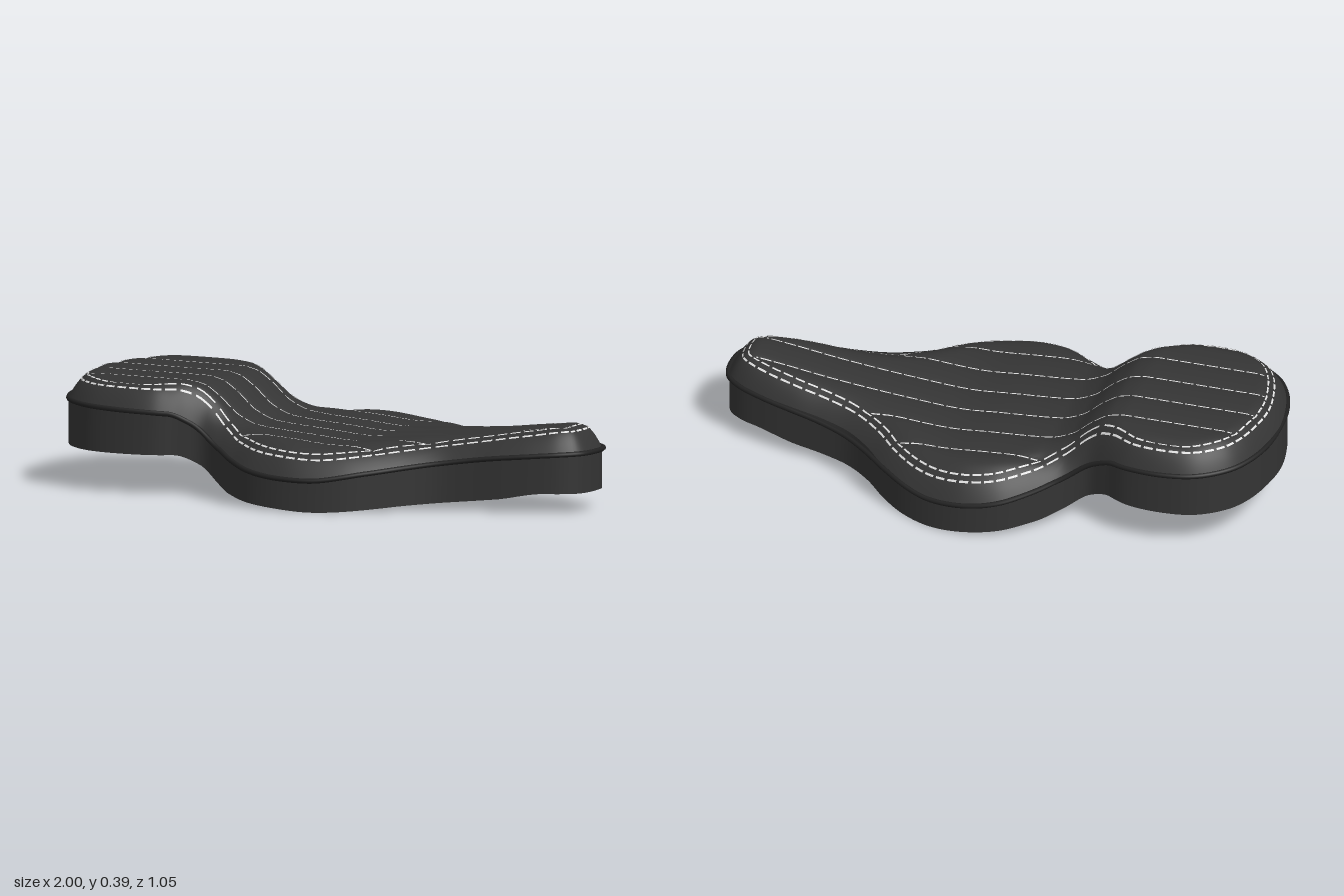
import * as THREE from 'three';

// Smooth interpolation through [x, value] pairs
function curve(pts) {
  const n = pts.length;
  const slope = (i) => {
    if (i === 0 || i === n - 1) return 0;
    const l = (pts[i][1] - pts[i - 1][1]) / (pts[i][0] - pts[i - 1][0]);
    const r = (pts[i + 1][1] - pts[i][1]) / (pts[i + 1][0] - pts[i][0]);
    return l * r <= 0 ? 0 : (2 * l * r) / (l + r);
  };
  return (x) => {
    if (x <= pts[0][0]) return pts[0][1];
    if (x >= pts[n - 1][0]) return pts[n - 1][1];
    let i = 0;
    while (x > pts[i + 1][0]) i++;
    const h = pts[i + 1][0] - pts[i][0], t = (x - pts[i][0]) / h, u = 1 - t;
    return pts[i][1] * (1 + 2 * t) * u * u + slope(i) * h * t * u * u
      + pts[i + 1][1] * t * t * (3 - 2 * t) - slope(i + 1) * h * t * t * u;
  };
}

// Side profiles: base edge, piping seam, crown, and width of the rounded shoulder
const baseY = curve([[-1, .14], [-.48, .14], [-.4, .11], [-.3, .05], [-.23, .03], [0, .008], [.14, 0],
  [.4, .017], [.7, .045], [.87, .07], [1, .07]]);
const seamY = curve([[-1, .3], [-.5, .285], [-.42, .255], [-.3, .18], [-.2, .145], [0, .115], [.12, .11],
  [.3, .135], [.5, .165], [.75, .195], [1, .21]]);
const crownY = curve([[-1, .39], [-.5, .39], [-.44, .38], [-.38, .345], [-.3, .28], [-.22, .25], [0, .232],
  [.14, .222], [.35, .235], [.6, .26], [.8, .288], [.92, .302], [1, .302]]);
const shoulder = curve([[-1, .11], [-.5, .11], [-.2, .15], [.3, .15], [.8, .11], [1, .1]]);

// Closed plan outline mirrored from the half with positive z
function outline(half, count) {
  const mirrored = half.slice(1, -1).reverse().map(([x, z]) => [x, -z]);
  const pts = [...half, ...mirrored].map(([x, z]) => new THREE.Vector3(x, 0, z));
  return new THREE.CatmullRomCurve3(pts, true, 'centripetal').getSpacedPoints(count).slice(0, count);
}
const rearHalf = [[-.997, 0], [-.982, .12], [-.95, .225], [-.9, .305], [-.8, .375], [-.68, .395]];
const wideHalf = [[-.23, .41], [-.12, .487], [0, .515], [.12, .502], [.23, .457]];
const edge = outline([...rearHalf, [-.55, .38], [-.46, .335], [-.39, .31], [-.32, .335], ...wideHalf,
  [.32, .39], [.41, .3], [.5, .24], [.6, .21], [.72, .19], [.83, .165], [.92, .13], [.97, .085], [.985, 0]], 400);
const pipeEdge = outline([[-.991, 0], ...rearHalf.slice(1), [-.55, .378], [-.47, .35], [-.39, .335], [-.3, .362],
  ...wideHalf, [.32, .397], [.41, .327], [.5, .272], [.6, .236], [.72, .208], [.83, .177], [.92, .138],
  [.975, .085], [.991, 0]], 300);

function edgeDistance(x, z) {
  let best = Infinity;
  for (let i = 0; i < edge.length; i++) {
    const a = edge[i], b = edge[(i + 1) % edge.length];
    const dx = b.x - a.x, dz = b.z - a.z;
    const t = THREE.MathUtils.clamp(((x - a.x) * dx + (z - a.z) * dz) / (dx * dx + dz * dz), 0, 1);
    best = Math.min(best, (x - a.x - t * dx) ** 2 + (z - a.z - t * dz) ** 2);
  }
  return Math.sqrt(best);
}

// Padded top: rounded shoulder, then lengthwise puffed channels
const CHANNEL = .13;
function topY(x, z) {
  const d = edgeDistance(x, z);
  const t = Math.min(1, d / shoulder(x));
  const dome = seamY(x) + (crownY(x) - seamY(x)) * (1 - (1 - t) ** 2.4);
  const puff = Math.sqrt(Math.abs(Math.cos(Math.PI * z / CHANNEL)));
  return dome - .013 * (1 - puff) * THREE.MathUtils.smoothstep(d, .04, .09);
}

function meshFrom(name, positions, index, material) {
  const g = new THREE.BufferGeometry();
  g.setAttribute('position', new THREE.Float32BufferAttribute(positions, 3));
  g.setIndex(index);
  g.computeVertexNormals();
  const mesh = new THREE.Mesh(g, material);
  mesh.name = name;
  return mesh;
}

// Skin over closed rows of points
function skin(name, rows, material) {
  const n = rows[0].length, index = [];
  for (let k = 0; k < rows.length - 1; k++) {
    for (let i = 0; i < n; i++) {
      const a = k * n + i, b = k * n + (i + 1) % n;
      index.push(a, b, b + n, a, b + n, a + n);
    }
  }
  return meshFrom(name, rows.flat(2), index, material);
}

// Ring of the plan, drawn in towards the centre spine by the fraction r
function ring(r, height) {
  return edge.map((p) => {
    const x = p.x + (THREE.MathUtils.clamp(p.x, -.8, .87) - p.x) * r, z = p.z * (1 - r);
    return [x, height(x, z), z];
  });
}

// Thin thread dashes lying on the padded top; path points are [x, z]
function stitches(name, path, on, off, material) {
  const pos = [], index = [], half = .0028;
  for (let i = 0; i < path.length - 1; i++) {
    if (i % (on + off) >= on || !path[i] || !path[i + 1]) continue;
    const [ax, az] = path[i], [bx, bz] = path[i + 1];
    const len = Math.hypot(bx - ax, bz - az) || 1;
    const nx = -(bz - az) / len * half, nz = (bx - ax) / len * half;
    const s = pos.length / 3;
    for (const [x, z] of [[ax - nx, az - nz], [ax + nx, az + nz], [bx + nx, bz + nz], [bx - nx, bz - nz]]) {
      pos.push(x, topY(x, z) + .003, z);
    }
    index.push(s, s + 1, s + 2, s, s + 2, s + 3);
  }
  return meshFrom(name, pos, index, material);
}

export function createModel() {
  const leather = new THREE.MeshStandardMaterial({ color: 0x343434 });
  leather.name = 'black leather';
  const trim = new THREE.MeshStandardMaterial({ color: 0x222222 });
  trim.name = 'dark piping';
  const thread = new THREE.MeshStandardMaterial({ color: 0xdddddd, side: THREE.DoubleSide });
  thread.name = 'pale thread';

  const group = new THREE.Group();
  group.name = 'saddle';

  // Padded top, side wall and underside
  const topRows = [];
  for (let k = 0; k <= 52; k++) topRows.push(ring((k / 52) ** 1.35, topY));
  group.add(skin('paddedTop', topRows, leather));
  group.add(skin('sideWall', [ring(0, baseY), ring(0, (x) => (baseY(x) + seamY(x)) / 2), ring(0, seamY)], leather));
  group.add(skin('underside', [1, .75, .5, .25, 0].map((r) => ring(r, baseY)), leather));

  // Piping around the seam
  const pipePath = new THREE.CatmullRomCurve3(
    pipeEdge.map((p) => new THREE.Vector3(p.x, seamY(p.x), p.z)), true);
  const piping = new THREE.Mesh(new THREE.TubeGeometry(pipePath, 400, .009, 8, true), trim);
  piping.name = 'piping';
  group.add(piping);

  // Double border stitching, offset inwards from the edge
  for (const [name, inset] of [['outerBorderStitch', .045], ['innerBorderStitch', .066]]) {
    const path = edge.map((p, i) => {
      const a = edge[(i + edge.length - 1) % edge.length], b = edge[(i + 1) % edge.length];
      const dx = b.x - a.x, dz = b.z - a.z, len = Math.hypot(dx, dz);
      const x = p.x + dz / len * inset, z = p.z - dx / len * inset;
      return edgeDistance(x, z) > inset * .95 ? [x, z] : null;
    });
    group.add(stitches(name, [...path, path[0]], 3, 1, thread));
  }

  // Lengthwise stitching in the channel grooves
  for (const side of [-1, 1]) {
    for (let c = 0; c < 3; c++) {
      const z = side * CHANNEL * (c + .5), path = [];
      for (let x = -.95; x < .95; x += .008) {
        const inside = edge.some((p) => p.x < x && Math.abs(p.z - z) < .01)
          && edge.some((p) => p.x > x && Math.abs(p.z - z) < .01);
        path.push(inside && edgeDistance(x, z) > .072 ? [x, z] : null);
      }
      group.add(stitches('channelStitch', path, 5, 1, thread));
    }
  }
  return group;
}
